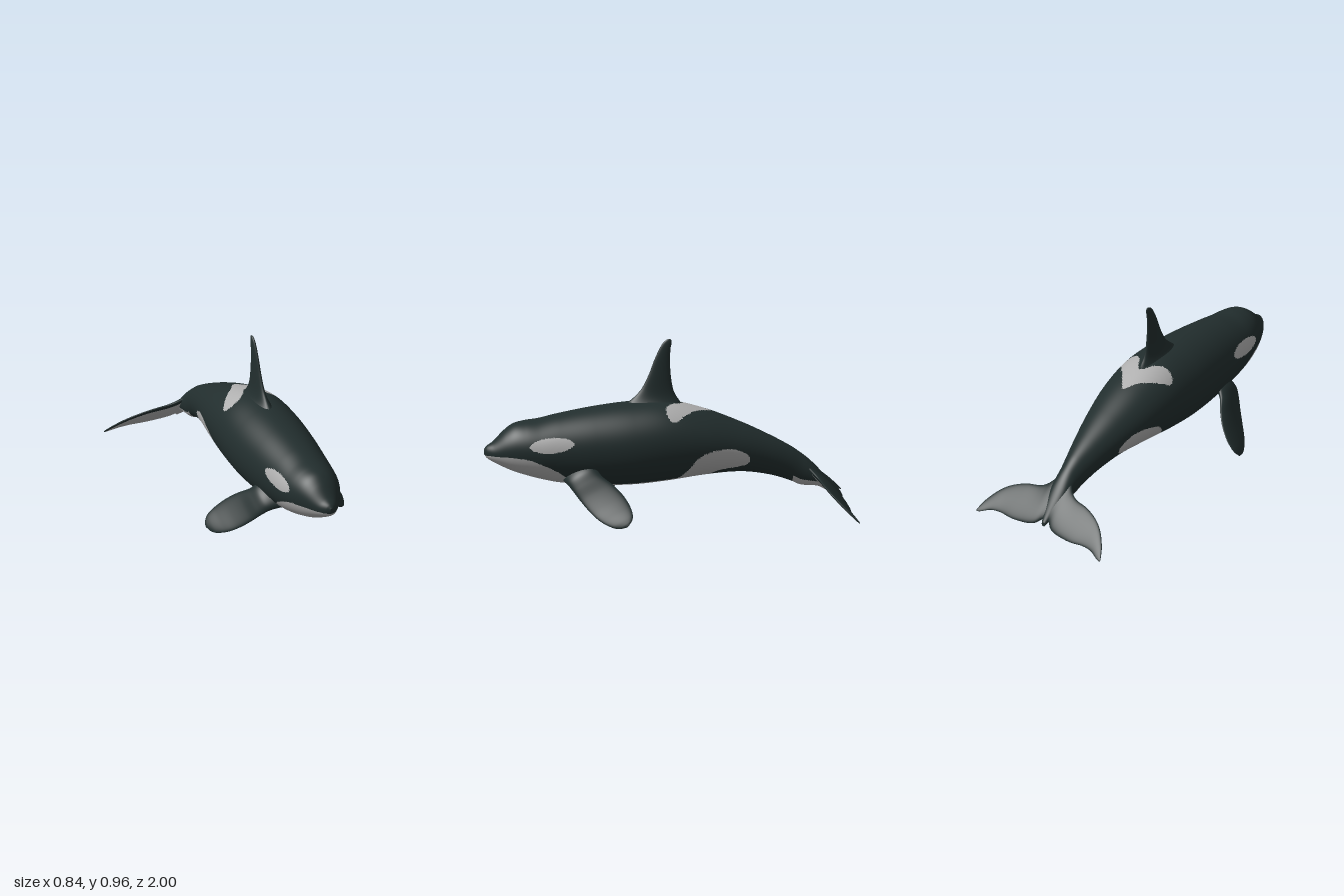
import * as THREE from 'three';

const dark = new THREE.MeshStandardMaterial({ color: 0x222e2e });
dark.name = 'darkSkin';
const pale = new THREE.MeshStandardMaterial({ color: 0xb0b0b0 });
pale.name = 'paleSkin';

// Smooth interpolation of a table whose first column is the ascending key
function sample(rows, k) {
  const n = rows.length;
  k = Math.min(Math.max(k, rows[0][0]), rows[n - 1][0]);
  let i = 0;
  while (i < n - 2 && k > rows[i + 1][0]) i++;
  const a = rows[i], b = rows[i + 1], d = b[0] - a[0], t = (k - a[0]) / d;
  const p = rows[Math.max(i - 1, 0)], q = rows[Math.min(i + 2, n - 1)];
  const t2 = t * t, t3 = t2 * t;
  return a.map((v, c) => {
    const m0 = (b[c] - p[c]) / (b[0] - p[0]) * d, m1 = (q[c] - v) / (q[0] - a[0]) * d;
    return v * (2 * t3 - 3 * t2 + 1) + m0 * (t3 - 2 * t2 + t) + b[c] * (3 * t2 - 2 * t3) + m1 * (t3 - t2);
  });
}

// Closed loft: ringAt(u, angle) gives a point; isPale(point, normal, u, angle) picks the colour
function loft(name, nu, nv, ringAt, isPale = () => false) {
  const rings = [];
  for (let i = 0; i <= nu; i++) {
    const u = 0.5 - 0.5 * Math.cos(Math.PI * i / nu);
    rings.push(Array.from({ length: nv }, (_, j) => ringAt(u, 2 * Math.PI * j / nv)));
  }
  const cap = (r) => {
    const c = r.reduce((s, p) => s.add(p), new THREE.Vector3()).divideScalar(nv);
    return r.map(() => c.clone());
  };
  rings.unshift(cap(rings[0]));
  rings.push(cap(rings[rings.length - 1]));
  const pts = rings.flat(), tris = [];
  let volume = 0;
  const n = new THREE.Vector3(), e = new THREE.Vector3();
  for (let i = 0; i < rings.length - 1; i++) {
    for (let j = 0; j < nv; j++) {
      const a = i * nv + j, b = i * nv + (j + 1) % nv, c = a + nv, d = b + nv;
      const u = 0.5 - 0.5 * Math.cos(Math.PI * Math.min(Math.max((i - 0.5) / nu, 0), 1));
      for (const t of [[a, b, d], [a, d, c]]) {
        tris.push({ t, u, v: 2 * Math.PI * (j + 0.5) / nv });
        volume += pts[t[0]].dot(n.crossVectors(pts[t[1]], pts[t[2]]));
      }
    }
  }
  const lists = [[], []];
  for (const { t, u, v } of tris) {
    if (volume < 0) t.reverse();
    const [a, b, c] = t.map((k) => pts[k]);
    n.subVectors(b, a).cross(e.subVectors(c, a)).normalize();
    const mid = a.clone().add(b).add(c).divideScalar(3);
    lists[isPale(mid, n, u, v) ? 1 : 0].push(...t);
  }
  const g = new THREE.BufferGeometry().setFromPoints(pts);
  g.setIndex(lists[0].concat(lists[1]));
  g.addGroup(0, lists[0].length, 0);
  if (lists[1].length) g.addGroup(lists[0].length, lists[1].length, 1);
  g.computeVertexNormals();
  const mesh = new THREE.Mesh(g, [dark, pale]);
  mesh.name = name;
  return mesh;
}

// Smooth closed outline and point test for the skin markings
const outline = (pts) => new THREE.CatmullRomCurve3(
  pts.map(([a, b]) => new THREE.Vector3(a, b, 0)), true).getPoints(60);
function inside(poly, x, y) {
  let hit = false;
  for (let i = 0, j = poly.length - 1; i < poly.length; j = i++) {
    const p = poly[i], q = poly[j];
    if ((p.y > y) !== (q.y > y) && x < (q.x - p.x) * (y - p.y) / (q.y - p.y) + p.x) hit = !hit;
  }
  return hit;
}

// Body: z, back height, belly height, half width
const BODY = [
  [-0.95, 0.075, 0.05, 0.012], [-0.88, 0.165, 0.1, 0.042], [-0.82, 0.235, 0.133, 0.056],
  [-0.77, 0.285, 0.138, 0.06], [-0.72, 0.325, 0.145, 0.064], [-0.67, 0.36, 0.168, 0.073],
  [-0.56, 0.422, 0.205, 0.1], [-0.4, 0.5, 0.23, 0.14], [-0.2, 0.58, 0.22, 0.185],
  [0, 0.63, 0.194, 0.21], [0.2, 0.628, 0.177, 0.215], [0.41, 0.605, 0.18, 0.2],
  [0.6, 0.572, 0.2, 0.177], [0.7, 0.55, 0.222, 0.164], [0.78, 0.54, 0.245, 0.146],
  [0.84, 0.525, 0.265, 0.125], [0.89, 0.49, 0.287, 0.1], [0.95, 0.43, 0.318, 0.062],
  [0.985, 0.407, 0.34, 0.032], [1, 0.39, 0.36, 0.01],
];
// Marking borders
const JAW = [[0.48, 0.2], [0.57, 0.25], [0.62, 0.285], [0.7, 0.325], [0.785, 0.355], [0.9, 0.36], [1, 0.357]];
const BELLY = [[-0.43, 0], [-0.36, 0.045], [-0.2, 0.085], [0, 0.1], [0.3, 0.095], [0.5, 0.1]];
const FLANK = outline([[-0.02, 0.17], [-0.1, 0.28], [-0.155, 0.35], [-0.26, 0.385], [-0.37, 0.375],
  [-0.435, 0.33], [-0.425, 0.292], [-0.34, 0.272], [-0.26, 0.258], [-0.21, 0.225], [-0.18, 0.17]]);
const SADDLE = outline([[0, -0.24], [0.05, -0.17], [0.12, -0.09], [0.165, -0.02], [0.15, 0.012],
  [0.1, 0.02], [0.05, -0.02], [0.02, -0.07], [-0.01, -0.1], [-0.02, -0.22]]);

function bodyIsPale(p, n) {
  const x = Math.abs(p.x), { y, z } = p;
  const eye = ((z - 0.65) / 0.118) ** 2 + ((y - 0.434 + (z - 0.65) * 0.08) / 0.04) ** 2 < 1;
  const chin = z > 0.48 && y < sample(JAW, z)[1];
  const belly = z > -0.43 && z < 0.5 && n.y < 0 && y < 0.32 && x < sample(BELLY, z)[1];
  const tail = z < -0.68 && n.y < -0.4;
  return eye || chin || belly || tail || inside(FLANK, z, y) || (y > 0.45 && inside(SADDLE, x, z));
}

// Dorsal fin: height, front z, back z, half thickness
const DORSAL = [
  [0.57, 0.29, -0.09, 0.09], [0.6, 0.25, -0.08, 0.062], [0.63, 0.21, -0.065, 0.04],
  [0.66, 0.175, -0.045, 0.028], [0.7, 0.14, -0.03, 0.021], [0.78, 0.1, -0.018, 0.016],
  [0.86, 0.07, -0.015, 0.013], [0.92, 0.042, -0.018, 0.011], [0.95, 0.024, -0.024, 0.009],
  [0.965, 0.008, -0.022, 0.006], [0.972, -0.006, -0.014, 0.002],
];
// Flipper: x, leading y and z, trailing y and z, half thickness
const FLIPPER = [
  [0.1, 0.225, 0.58, 0.33, 0.42, 0.05], [0.16, 0.21, 0.56, 0.3, 0.405, 0.04],
  [0.2, 0.18, 0.535, 0.265, 0.38, 0.028], [0.24, 0.135, 0.5, 0.225, 0.325, 0.021],
  [0.29, 0.085, 0.455, 0.175, 0.275, 0.017], [0.34, 0.045, 0.405, 0.125, 0.245, 0.014],
  [0.38, 0.021, 0.35, 0.085, 0.236, 0.011], [0.398, 0.016, 0.31, 0.06, 0.243, 0.008],
  [0.408, 0.025, 0.275, 0.04, 0.258, 0.003],
];
// Flukes: |x|, leading z, trailing z, half thickness
const FLUKE = [
  [0, -0.74, -0.925, 0.022], [0.02, -0.745, -0.932, 0.022], [0.05, -0.762, -0.955, 0.021],
  [0.08, -0.792, -0.965, 0.019], [0.12, -0.812, -0.971, 0.017], [0.2, -0.826, -0.975, 0.014],
  [0.28, -0.853, -0.97, 0.011], [0.34, -0.89, -0.976, 0.009], [0.39, -0.942, -0.995, 0.006],
  [0.41, -0.975, -1, 0.004], [0.418, -0.993, -0.999, 0.002],
];

export function createModel() {
  const model = new THREE.Group();
  model.name = 'whale';

  model.add(loft('body', 300, 160, (u, a) => {
    const [z, top, bottom, w] = sample(BODY, -0.95 + 1.95 * u);
    const c = Math.cos(a), s = Math.sin(a);
    const x = Math.sign(c) * Math.abs(c) ** (s < 0 ? 0.88 : 1) * w;
    return new THREE.Vector3(x, (top + bottom) / 2 + s * (top - bottom) / 2, z);
  }, bodyIsPale));

  model.add(loft('dorsalFin', 50, 40, (u, a) => {
    const [y, f, b, h] = sample(DORSAL, 0.57 + 0.402 * u);
    return new THREE.Vector3(Math.sin(a) * h, y, (f + b) / 2 + Math.cos(a) * (f - b) / 2);
  }));

  // Flippers with a pale oval on the inner face
  for (const side of [1, -1]) {
    const normal = new THREE.Vector3(0.79, 0.54, 0.29);
    model.add(loft(side > 0 ? 'leftFlipper' : 'rightFlipper', 70, 56, (u, a) => {
      const [x, ly, lz, ty, tz, h] = sample(FLIPPER, 0.1 + 0.308 * u);
      const c = Math.cos(a) / 2;
      const p = new THREE.Vector3(x, (ly + ty) / 2 + c * (ly - ty), (lz + tz) / 2 + c * (lz - tz));
      p.addScaledVector(normal, h * Math.sin(a));
      p.x *= side;
      return p;
    }, (p, n, u, a) => Math.sin(a) < 0 && ((u - 0.67) / 0.27) ** 2 + (Math.cos(a) / 0.8) ** 2 < 1));
  }

  // Flukes on one sloping plane, pale beneath with a dark leading rim
  model.add(loft('tailFlukes', 120, 56, (u, a) => {
    const x = (u - 0.5) * 0.836;
    const [, f, b, h] = sample(FLUKE, Math.abs(x));
    const z = (f + b) / 2 + Math.cos(a) * (f - b) / 2, t = Math.sin(a) * h * 0.7;
    return new THREE.Vector3(x, 0.012 + (z + 1) * 0.98 + t, z - t);
  }, (p, n, u, a) => Math.sin(a) < 0 && p.z < sample(FLUKE, Math.abs(p.x))[1] - 0.01));

  return model;
}
